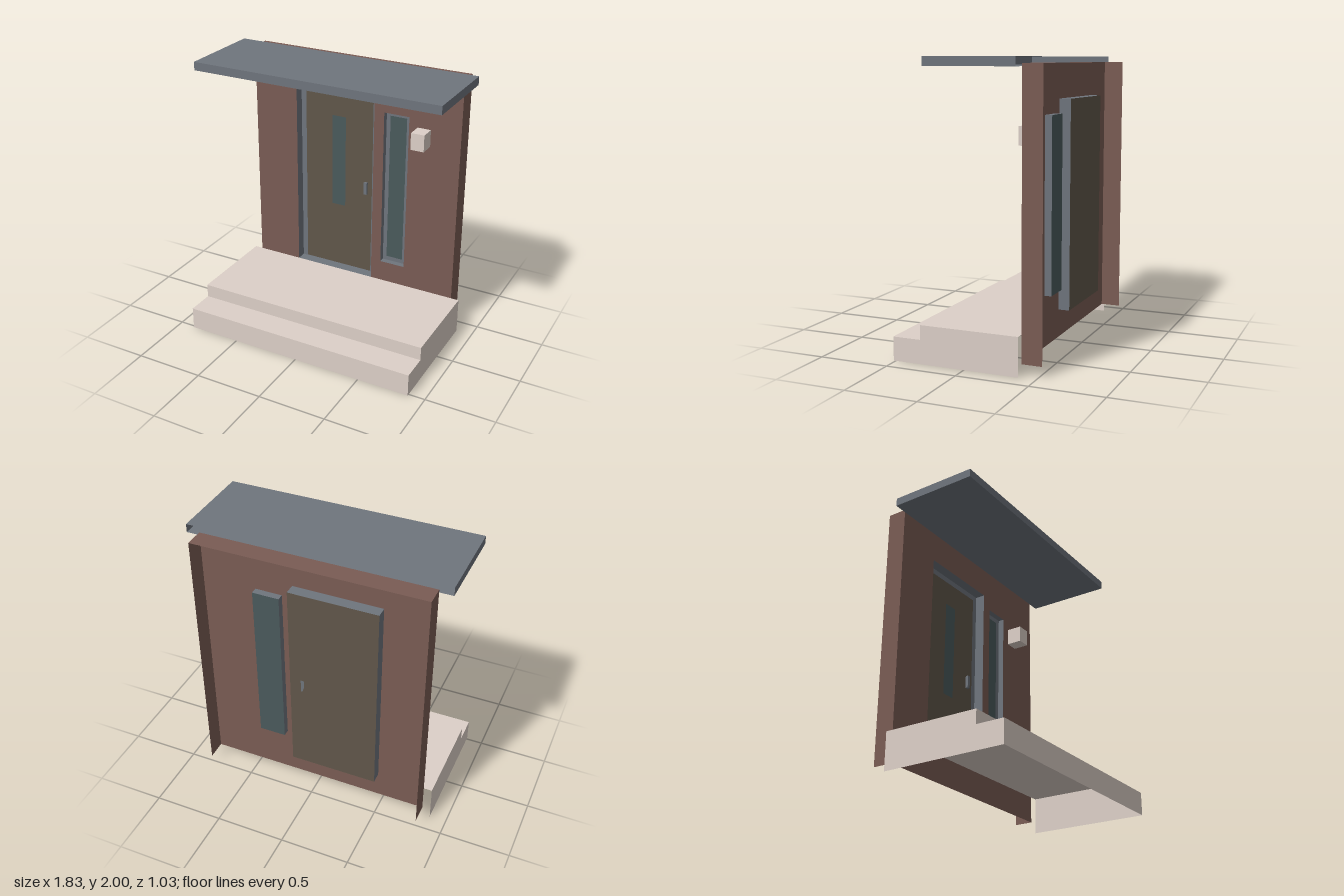
import * as THREE from 'three';

const mats = {};
const paint = (color) => (mats[color] ??= new THREE.MeshStandardMaterial({ color, side: THREE.DoubleSide, flatShading: true }));
const BRICK = 0x7a5c54, SLATE = 0x6f757d, OLIVE = 0x61574a, GLASS = 0x4a5a5c, STONE = 0xddd0c8;
const FACES = ['right', 'left', 'top', 'bottom', 'front', 'back']; // BoxGeometry face order

function add(parent, name, geometry, color) {
  const mesh = new THREE.Mesh(geometry, paint(color));
  mesh.name = name;
  parent.add(mesh);
  return mesh;
}

// Box given by its limits, with the listed faces left open
function shell([x0, x1], [y0, y1], [z0, z1], open = []) {
  const g = new THREE.BoxGeometry(x1 - x0, y1 - y0, z1 - z0);
  g.translate((x0 + x1) / 2, (y0 + y1) / 2, (z0 + z1) / 2);
  g.setIndex(Array.from(g.index.array).filter((_, i) => !open.includes(FACES[Math.floor(i / 6)])));
  g.clearGroups();
  return g;
}

const corners = ([x0, x1], [y0, y1]) =>
  [[x0, y0], [x1, y0], [x1, y1], [x0, y1]].map(([x, y]) => new THREE.Vector2(x, y));

// Flat rectangular sheet facing +z, with rectangular holes
function sheet(x, y, z, holes = []) {
  const shape = new THREE.Shape(corners(x, y));
  for (const [hx, hy] of holes) shape.holes.push(new THREE.Path(corners(hx, hy).reverse()));
  return new THREE.ShapeGeometry(shape).translate(0, 0, z);
}

// Recessed opening: reveal, flat frame face and the panel closing the back
function opening(parent, name, x, y, back, inner, color) {
  const group = new THREE.Group();
  group.name = name;
  add(group, name + 'Reveal', shell(x, y, [back, -0.38], ['front', 'back']), SLATE);
  add(group, name + 'Panel', sheet(x, y, back), color);
  const [[ix0, ix1], [iy0, iy1]] = inner;
  const z = back + 0.006;
  add(group, name + 'FrameHead', sheet(x, [iy1, y[1]], z), SLATE);
  add(group, name + 'FrameRight', sheet([x[0], ix0], [y[0], iy1], z), SLATE);
  add(group, name + 'FrameLeft', sheet([ix1, x[1]], [y[0], iy1], z), SLATE);
  if (iy0 > y[0]) add(group, name + 'FrameSill', sheet([ix0, ix1], [y[0], iy0], z), SLATE);
  parent.add(group);
  return group;
}

export function createModel() {
  const model = new THREE.Group();
  model.name = 'entrance';
  const wallX = [-0.82, 0.82], wallY = [0.07, 1.96];
  const doorX = [-0.475, 0.16], doorY = [0.265, 1.72];
  const winX = [0.237, 0.43], winY = [0.425, 1.625];

  // Wall: pierced front sheet with side and top returns, open behind
  add(model, 'wallFace', sheet(wallX, wallY, -0.38, [[doorX, doorY], [winX, winY]]), BRICK);
  add(model, 'wallReturns', shell(wallX, wallY, [-0.52, -0.38], ['front', 'back', 'bottom']), BRICK);

  // Door with glazed strip and handle
  const door = opening(model, 'door', doorX, doorY, -0.46, [[-0.435, 0.118], [0.265, 1.68]], OLIVE);
  add(door, 'doorGlass', sheet([-0.215, -0.105], [0.78, 1.5], -0.455), GLASS);
  add(door, 'doorHandle', shell([0.055, 0.08], [0.92, 1.015], [-0.46, -0.44]), SLATE);

  // Side window
  opening(model, 'window', winX, winY, -0.43, [[0.267, 0.395], [0.457, 1.592]], GLASS);

  // Canopy, open where it meets the wall
  add(model, 'canopy', shell([-0.915, 0.915], [1.94, 2], [-0.38, 0.255], ['back']), SLATE);

  // Wall lamp
  add(model, 'wallLamp', shell([0.495, 0.595], [1.435, 1.56], [-0.38, -0.265], ['back']), STONE);

  // Two steps: treads and risers follow the profile; the underside and back are open
  const steps = new THREE.Group();
  steps.name = 'steps';
  const profile = [[0.515, 0], [0.515, 0.165], [0.315, 0.165], [0.315, 0.265], [-0.38, 0.265]];
  for (let i = 0; i < profile.length - 1; i++) {
    const [[z0, y0], [z1, y1]] = [profile[i], profile[i + 1]];
    const strip = new THREE.PlaneGeometry(1.76, 1);
    const p = strip.attributes.position;
    for (let v = 0; v < p.count; v++) {
      const upper = p.getY(v) > 0;
      p.setY(v, upper ? y1 : y0);
      p.setZ(v, upper ? z1 : z0);
    }
    strip.computeVertexNormals();
    add(steps, i % 2 ? 'tread' : 'riser', strip, STONE);
  }
  const endShape = new THREE.Shape([...profile, [-0.38, 0]].map(([z, y]) => new THREE.Vector2(-z, y)));
  for (const side of [-1, 1]) {
    const end = new THREE.ShapeGeometry(endShape);
    if (side < 0) end.scale(-1, 1, 1).setIndex(Array.from(end.index.array).reverse());
    end.rotateY(side * Math.PI / 2).translate(side * 0.88, 0, 0);
    add(steps, side > 0 ? 'leftStepEnd' : 'rightStepEnd', end, STONE);
  }
  model.add(steps);
  return model;
}
